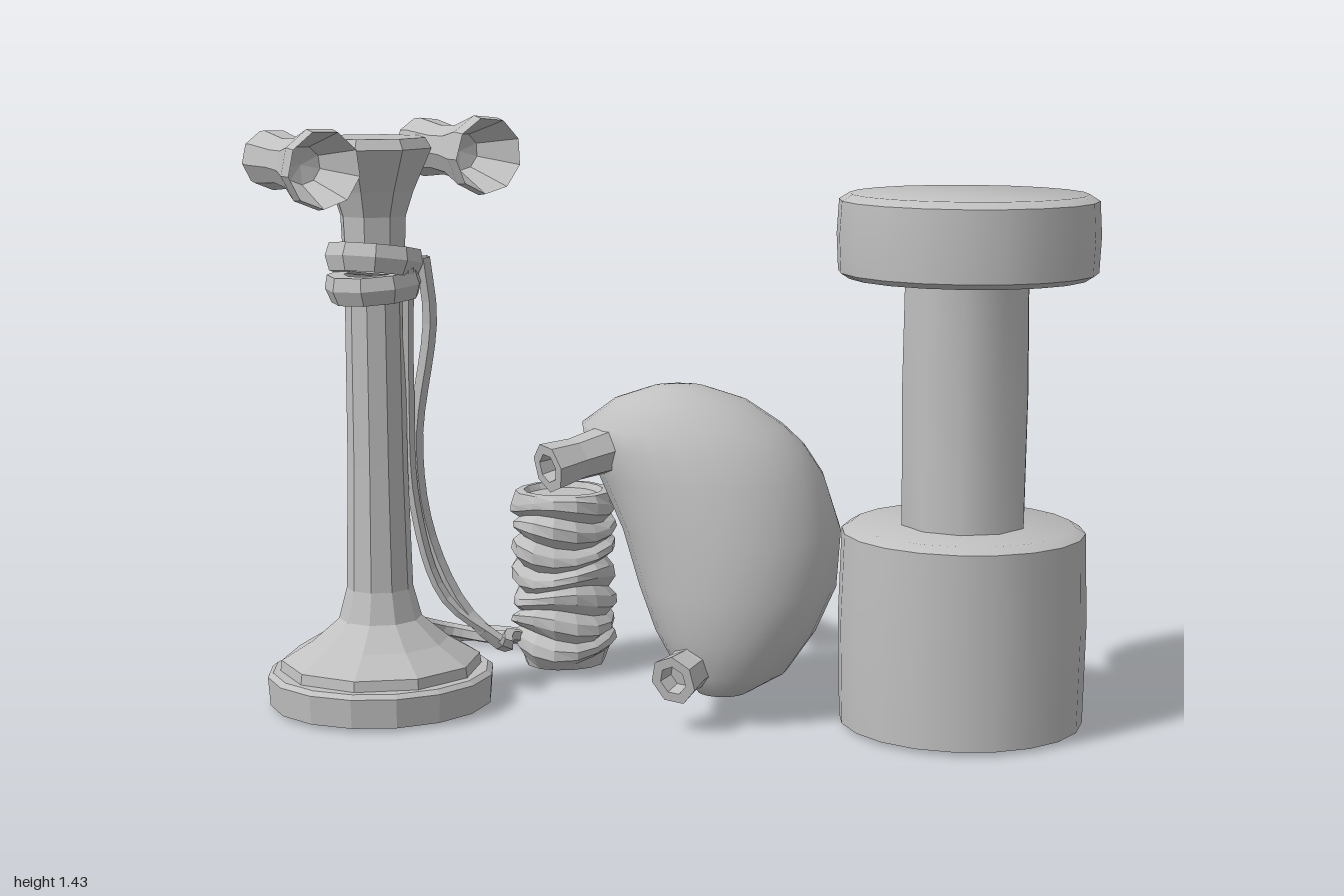
import * as THREE from 'three';
import { mergeVertices, toCreasedNormals } from 'three/addons/utils/BufferGeometryUtils.js';

const V = (x, y, z) => new THREE.Vector3(x, y, z);

export function createModel() {
  const model = new THREE.Group();
  const grey = new THREE.MeshStandardMaterial({ color: 0xc0c0c0, side: THREE.DoubleSide });
  grey.name = 'plain grey';

  const add = (name, geo, x = 0, y = 0, z = 0) => {
    const mesh = new THREE.Mesh(geo, grey);
    mesh.name = name;
    mesh.position.set(x, y, z);
    model.add(mesh);
    return mesh;
  };
  // Faceted copy of a geometry
  const flat = (geo) => {
    const g = geo.toNonIndexed();
    g.computeVertexNormals();
    return g;
  };
  // Profile of [radius, height] pairs, turned about y
  const turned = (profile, sides) =>
    new THREE.LatheGeometry(profile.map(([r, y]) => new THREE.Vector2(r, y)), sides);
  // Turned part whose axis runs from a to b
  const between = (name, geo, a, b) => {
    const mesh = add(name, geo, a.x, a.y, a.z);
    mesh.quaternion.setFromUnitVectors(V(0, 1, 0), b.clone().sub(a).normalize());
    return mesh;
  };

  // Large stacked stand: drum, column and cap
  const stand = [
    ['standDrum', [[0, 0.02], [0.287, 0.02], [0.292, 0.26], [0.285, 0.475], [0.26, 0.49], [0, 0.495]], 20],
    ['standColumn', [[0.148, 0.48], [0.152, 0.8], [0.148, 1.09]], 10],
    ['standCap', [[0, 1.075], [0.28, 1.072], [0.3, 1.085], [0.304, 1.17], [0.299, 1.25], [0.275, 1.265], [0, 1.262]], 20],
  ];
  for (const [name, profile, sides] of stand) {
    add(name, toCreasedNormals(turned(profile, sides), 0.65), 0.69, 0, 0.13);
  }

  // Leaning egg body from level cross-sections: y, x min, x max, z min, z max
  const rows = [
    [0.797, 0.0, 0.0, 0.06, 0.06], [0.79, -0.06, 0.07, 0.0, 0.12],
    [0.76, -0.15, 0.17, -0.05, 0.18], [0.7, -0.23, 0.26, -0.11, 0.235],
    [0.65, -0.222, 0.31, -0.15, 0.26], [0.58, -0.19, 0.355, -0.18, 0.285],
    [0.45, -0.13, 0.397, -0.195, 0.31], [0.32, -0.085, 0.39, -0.14, 0.32],
    [0.22, -0.04, 0.345, -0.05, 0.315], [0.13, 0.02, 0.28, 0.06, 0.29],
    [0.08, 0.07, 0.19, 0.13, 0.25], [0.065, 0.12, 0.12, 0.19, 0.19],
  ];
  const seg = 24;
  let egg = new THREE.CylinderGeometry(1, 1, 1, seg, rows.length - 1, true);
  const p = egg.attributes.position;
  for (let i = 0; i < p.count; i++) {
    const [y, x0, x1, z0, z1] = rows[Math.floor(i / (seg + 1))];
    p.setXYZ(i, (x0 + x1) / 2 + p.getX(i) * (x1 - x0) / 2, y, (z0 + z1) / 2 + p.getZ(i) * (z1 - z0) / 2);
  }
  egg.deleteAttribute('normal');
  egg.deleteAttribute('uv');
  egg = mergeVertices(egg, 1e-4);
  egg.computeVertexNormals();
  add('eggBody', egg);

  // Short hollow spouts on the egg
  const spout = (len) => flat(turned(
    [[0.06, 0], [0.052, len * 0.6], [0.06, len], [0.035, len], [0.03, len - 0.04], [0, len - 0.04]], 7));
  between('upperSpout', spout(0.2), V(-0.13, 0.655, 0.14), V(-0.28, 0.62, 0.285));
  between('lowerSpout', spout(0.15), V(0.09, 0.165, 0.2), V(0.035, 0.14, 0.33));

  // Pedestal: foot disc, flared cone and slim column
  const px = -0.712, pz = 0.168;
  add('pedestalFoot', flat(turned([[0, 0.02], [0.27, 0.02], [0.275, 0.09], [0.262, 0.1], [0, 0.1]], 16)), px, 0, pz);
  add('pedestalColumn', flat(turned(
    [[0.245, 0.09], [0.24, 0.125], [0.165, 0.17], [0.1, 0.225], [0.08, 0.3], [0.072, 0.6], [0.07, 1.03]], 10)), px, 0, pz);

  // Wrapped collar, two slightly tilted bands
  [[1.035, 0.06], [1.095, -0.09]].forEach(([y, tilt], i) => {
    const band = add('collarBand' + (i + 1), flat(turned(
      [[0.07, -0.03], [0.105, -0.035], [0.118, 0], [0.11, 0.032], [0.07, 0.03]], 9)), px, y, pz);
    band.rotation.set(tilt, i, tilt);
  });

  // Flared head on the column
  add('pedestalHead', flat(turned(
    [[0.075, 1.08], [0.08, 1.2], [0.1, 1.26], [0.145, 1.36], [0.13, 1.385], [0, 1.385]], 8)), px, 0, pz);

  // Pair of waisted horns on the head, open at the front
  const horn = flat(turned([[0, 0.03], [0.04, 0.03], [0.068, 0], [0.072, 0.03], [0.06, 0.12], [0.066, 0.19],
    [0.095, 0.28], [0.09, 0.31], [0.045, 0.19], [0, 0.18]], 9));
  between('leftHorn', horn, V(-0.645, 1.355, -0.025), V(-0.43, 1.345, 0.185));
  between('rightHorn', horn, V(-0.95, 1.335, 0.215), V(-0.755, 1.325, 0.435));

  // Coil bundle with uneven ridges
  const wrap = [[0, 0.03], [0.1, 0.03]];
  for (let i = 0; i < 7; i++) {
    const y = 0.055 + i * 0.06;
    wrap.push([0.112, y], [0.132, y + 0.02], [0.13, y + 0.042]);
  }
  wrap.push([0.12, 0.478], [0.1, 0.48], [0.09, 0.465], [0, 0.465]);
  const coil = turned(wrap, 14);
  const c = coil.attributes.position;
  for (let i = 0; i < c.count; i++) {
    const x = c.getX(i), y = c.getY(i), z = c.getZ(i), a = Math.atan2(z, x);
    const k = 1 + 0.03 * Math.sin(a * 3 + y * 40);
    const lift = y > 0.05 && y < 0.46 ? 0.014 * Math.sin(a * 2 + y * 25) : 0;
    c.setXYZ(i, x * k, y + lift, z * k);
  }
  add('coilBundle', flat(coil), -0.333, 0, -0.212);

  // Thin cords
  const cord = (name, pts, r) => add(name, flat(new THREE.TubeGeometry(
    new THREE.CatmullRomCurve3(pts.map((q) => V(...q))), 24, r, 5)));
  cord('columnCord', [[-0.6, 1.1, 0.14], [-0.59, 0.95, 0.12], [-0.632, 0.65, 0.11], [-0.61, 0.42, 0.09],
    [-0.53, 0.23, 0.07], [-0.435, 0.13, 0.04], [-0.455, 0.12, -0.1], [-0.42, 0.09, -0.2]], 0.018);
  cord('columnCordTwin', [[-0.62, 1.08, 0.2], [-0.64, 0.8, 0.14], [-0.635, 0.5, 0.12], [-0.57, 0.26, 0.09],
    [-0.44, 0.15, 0.06]], 0.014);
  cord('floorCord', [[-0.81, 0.1, -0.06], [-0.79, 0.06, -0.25], [-0.72, 0.035, -0.4], [-0.6, 0.03, -0.47],
    [-0.46, 0.035, -0.43]], 0.021);
  cord('floorCordTwin', [[-0.71, 0.07, -0.12], [-0.77, 0.1, -0.27], [-0.69, 0.05, -0.41], [-0.55, 0.035, -0.4],
    [-0.43, 0.06, -0.365], [-0.35, 0.1, -0.32]], 0.019);

  return model;
}
